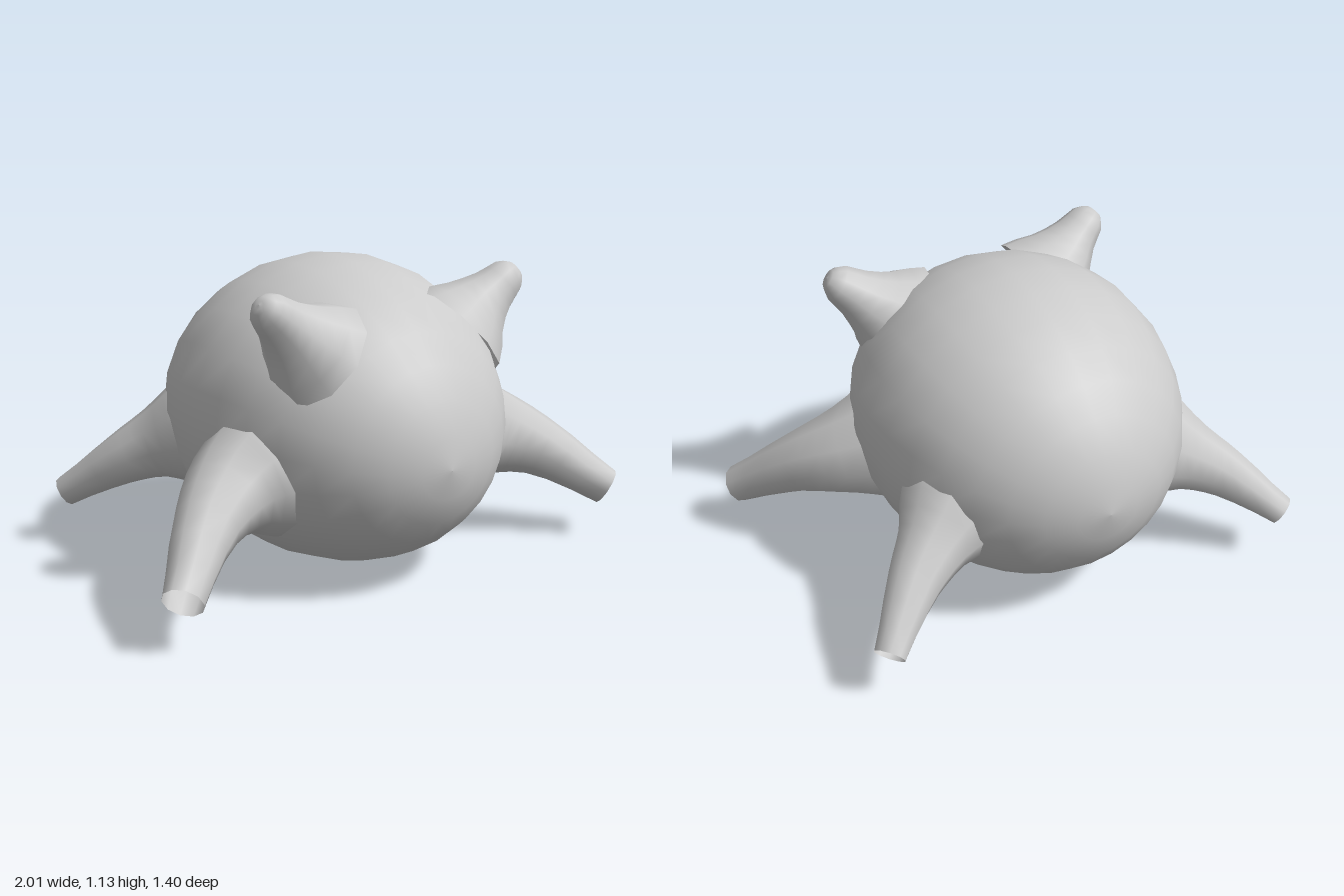
import * as THREE from 'three';

const material = new THREE.MeshStandardMaterial({ color: 0xcccccc, side: THREE.DoubleSide });

// Smooth skin over a list of closed rings (each an array of Vector3)
function skin(name, rings, flip = false) {
  const n = rings[0].length;
  const index = [];
  for (let i = 0; i < rings.length - 1; i++) {
    for (let j = 0; j < n; j++) {
      const a = i * n + j, b = i * n + (j + 1) % n, c = a + n, d = b + n;
      if (flip) index.push(a, c, b, b, c, d);
      else index.push(a, b, c, b, d, c);
    }
  }
  const geometry = new THREE.BufferGeometry().setFromPoints(rings.flat());
  geometry.setIndex(index);
  geometry.computeVertexNormals();
  const mesh = new THREE.Mesh(geometry, material);
  mesh.name = name;
  return mesh;
}

// Egg-shaped body: elliptical rings from back to front, drooping toward both ends
function makeBody() {
  const rings = [], stations = 16, sides = 24;
  for (let i = 0; i <= stations; i++) {
    const t = Math.PI * i / stations;
    const z = -0.7 * Math.cos(t), r = Math.max(Math.sin(t), 0.002);
    const centre = 0.577 - (0.11 + 0.07 * z) * z * z;
    const ring = [];
    for (let j = 0; j < sides; j++) {
      const a = 2 * Math.PI * j / sides;
      ring.push(new THREE.Vector3(0.605 * r * Math.cos(a), centre + 0.567 * r * Math.sin(a), z));
    }
    rings.push(ring);
  }
  return skin('body', rings);
}

// Flared limb along a curve; stations are [x, y, z, radius], side mirrors in x
function makeLimb(name, stations, side, segments) {
  const path = new THREE.CatmullRomCurve3(stations.map(([x, y, z]) => new THREE.Vector3(x, y, z)));
  const radii = new THREE.SplineCurve(stations.map((s, i) => new THREE.Vector2(i, s[3])));
  const rings = [], sides = 10;
  for (let i = 0; i <= segments; i++) {
    const t = i / segments;
    const p = path.getPoint(t), dir = path.getTangent(t), r = radii.getPoint(t).y;
    const u = new THREE.Vector3(0, 1, 0).cross(dir).normalize();
    const v = dir.clone().cross(u);
    const ring = [];
    for (let j = 0; j < sides; j++) {
      const a = 2 * Math.PI * j / sides;
      const q = p.clone().addScaledVector(u, r * Math.cos(a)).addScaledVector(v, r * Math.sin(a));
      q.x *= side;
      ring.push(q);
    }
    rings.push(ring);
  }
  return skin(name, rings, side < 0);
}

const limbs = {
  // Legs are hollow and open at the foot
  FrontLeg: [[0.43, 0.45, 0.2, 0.25], [0.59, 0.42, 0.24, 0.175], [0.75, 0.355, 0.335, 0.118], [0.95, 0.197, 0.52, 0.072]],
  BackLeg: [[0.42, 0.46, -0.32, 0.21], [0.54, 0.41, -0.405, 0.135], [0.65, 0.345, -0.485, 0.098], [0.815, 0.208, -0.635, 0.058]],
  // Ears close to a blunt tip
  Ear: [[0.31, 0.875, 0.335, 0.21], [0.39, 0.945, 0.345, 0.14], [0.465, 1.01, 0.36, 0.09],
    [0.525, 1.06, 0.372, 0.069], [0.556, 1.083, 0.378, 0.035], [0.56, 1.086, 0.379, 0.001]],
};

export function createModel() {
  const model = new THREE.Group();
  model.name = 'creature';
  model.add(makeBody());
  for (const [part, stations] of Object.entries(limbs)) {
    const segments = part === 'Ear' ? 10 : 9;
    model.add(makeLimb('left' + part, stations, 1, segments));
    model.add(makeLimb('right' + part, stations, -1, segments));
  }
  return model;
}
